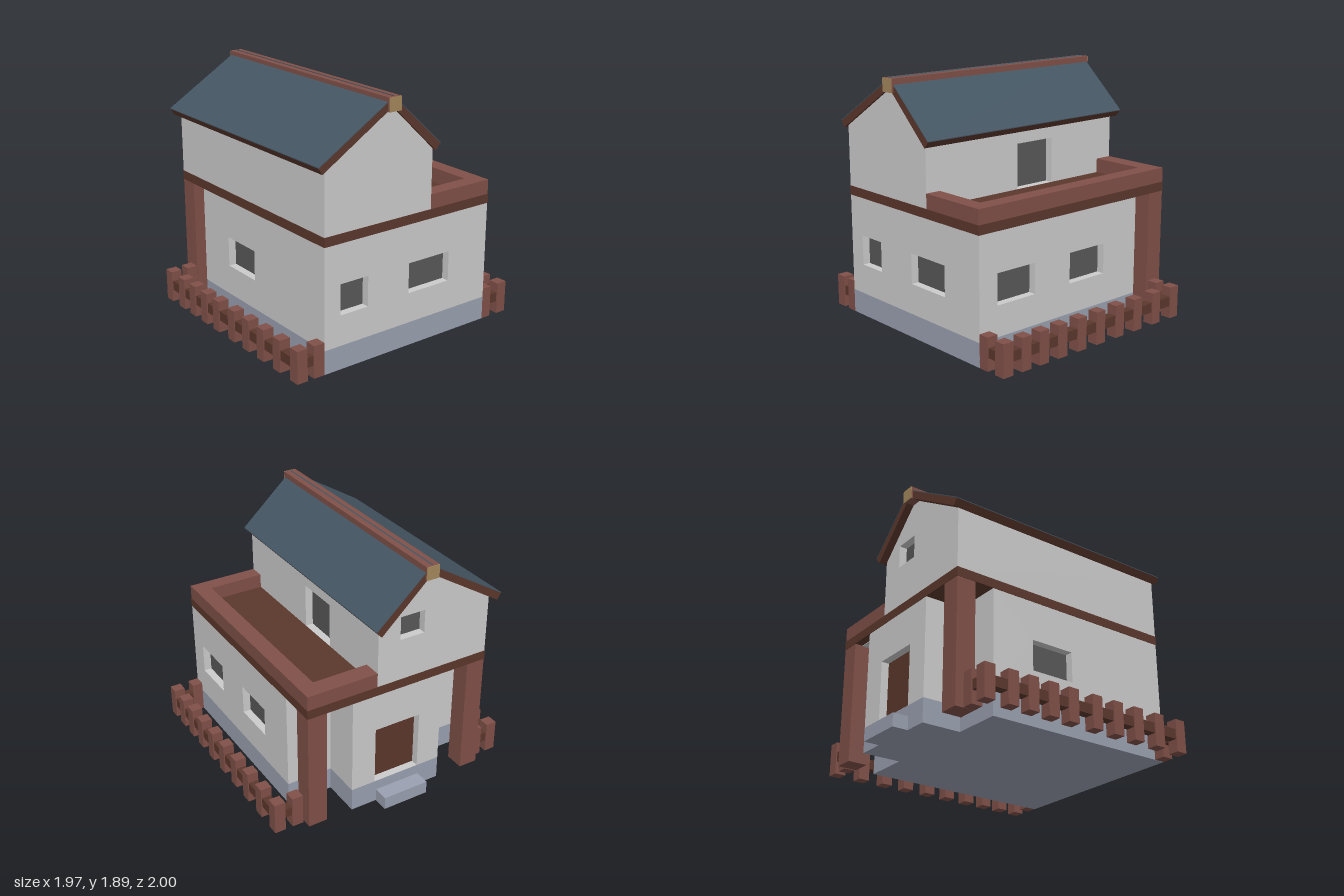
import * as THREE from 'three';

const mat = (color) => new THREE.MeshStandardMaterial({ color });
const grey = mat(0xcccccc), stone = mat(0x9aa0b0), wood = mat(0x805048), darkWood = mat(0x5b372c);
const tile = mat(0x445663), pane = mat(0x585858), gold = mat(0xa4875c);

export function createModel() {
  const root = new THREE.Group();

  // Box given by its two extreme corners
  const box = (name, m, x0, x1, y0, y1, z0, z1, parent = root) => {
    const mesh = new THREE.Mesh(new THREE.BoxGeometry(x1 - x0, y1 - y0, z1 - z0), m);
    mesh.position.set((x0 + x1) / 2, (y0 + y1) / 2, (z0 + z1) / 2);
    mesh.name = name;
    parent.add(mesh);
    return mesh;
  };
  const shapeOf = (pts) => new THREE.Shape(pts.map(([x, y]) => new THREE.Vector2(x, y)));
  // Outline extruded along z
  const prism = (name, m, shape, z0, z1, parent = root) => {
    const mesh = new THREE.Mesh(new THREE.ExtrudeGeometry(shape, { depth: z1 - z0, bevelEnabled: false }), m);
    mesh.position.z = z0;
    mesh.name = name;
    parent.add(mesh);
    return mesh;
  };
  const rect = (u0, u1, y0, y1) => [[u0, y0], [u1, y0], [u1, y1], [u0, y1]];

  // Wall turned to face outwards, with recessed openings [u0, u1, y0, y1, material]
  const T = 0.06;
  const wall = (name, angle, face, outline, openings = []) => {
    const g = new THREE.Group();
    g.name = name;
    g.rotation.y = angle;
    const s = shapeOf(outline);
    for (const [u0, u1, y0, y1, m] of openings) {
      s.holes.push(new THREE.Path(rect(u0, u1, y0, y1).map(([x, y]) => new THREE.Vector2(x, y))));
      box(m === darkWood ? 'door' : 'pane', m, u0 - 0.01, u1 + 0.01, y0 - 0.01, y1 + 0.01,
        face - T - 0.02, face - T, g);
    }
    prism('wallPanel', grey, s, face - T, face, g);
    root.add(g);
  };
  const L = -0.755, R = 0.74, F = 0.96, B = -0.88, N = -0.58, C = 0.38; // N, C: corner notches
  const H = Math.PI / 2;

  // Stone base with both rear corners cut out, and the doorstep
  const base = prism('plinth', stone, shapeOf([[L, -F], [R, -F], [R, -N], [C, -N], [C, -B],
    [-C, -B], [-C, -N], [L, -N]]), 0, 0.18);
  base.rotation.x = -H;
  box('doorstep', stone, -0.2, 0.17, 0, 0.1, -1, B);

  // Ground floor walls
  const y0 = 0.18, y1 = 0.94, w0 = 0.41, w1 = 0.64;
  wall('frontWall', 0, F, rect(L, R, y0, y1),
    [[-0.62, -0.38, w0, w1, pane], [-0.01, 0.37, w0, w1, pane]]);
  wall('leftWall', H, R, rect(-F, -N, y0, y1),
    [[-0.8, -0.45, w0, w1, pane], [-0.11, 0.24, w0, w1, pane]]);
  wall('rightWall', -H, -L, rect(N, F, y0, y1), [[-0.24, 0.11, w0, w1, pane]]);
  wall('porchWall', Math.PI, -B, rect(-C, C, y0, y1), [[-0.185, 0.19, 0.181, 0.64, darkWood]]);
  wall('porchLeftSide', H, C, rect(-N, -B, y0, y1));
  wall('porchRightSide', -H, C, rect(B, N, y0, y1));
  wall('notchWallLeft', Math.PI, -N, rect(-R, -C, y0, y1));
  wall('notchWallRight', Math.PI, -N, rect(C, -L, y0, y1));

  // Rear corner posts, ceiling of the left notch and floor band
  box('cornerPost', wood, R - 0.15, R, 0, y1, B, B + 0.15);
  box('cornerPost', wood, L, L + 0.15, 0, y1, B, B + 0.15);
  box('notchCeiling', grey, C, R - 0.06, 0.93, 0.945, B + 0.06, N);
  box('floorBand', darkWood, L - 0.003, R + 0.003, 0.935, 1.005, B - 0.003, F + 0.003);

  // Balcony parapet
  box('parapetSide', wood, 0.615, R, 1.0, 1.115, B, F);
  box('parapetFront', wood, 0.18, 0.615, 1.0, 1.115, 0.84, F);
  box('parapetBack', wood, 0.18, 0.615, 1.0, 1.115, B, -0.74);

  // Upper floor: two gables and two side walls
  const U = 0.18, ridge = -0.2;
  wall('frontGable', 0, F, [[L, 1], [U, 1], [U, 1.48], [ridge, 1.825], [L, 1.485]]);
  wall('backGable', Math.PI, -B, [[-U, 1], [-L, 1], [-L, 1.485], [-ridge, 1.825], [-U, 1.48]],
    [[0, 0.2, 1.33, 1.51, pane]]);
  wall('upperLeftWall', H, U, rect(-F, -B, 1, 1.47), [[-0.11, 0.24, 1.006, 1.35, pane]]);
  wall('upperRightWall', -H, -L, rect(B, F, 1, 1.475));

  // Roof: wooden slabs, each covered by a thin tiled sheet
  const slopes = [
    ['Right', [-0.815, 1.496], [-0.784, 1.448], 1.872],
    ['Left', [0.235, 1.485], [0.193, 1.438], 1.88],
  ];
  for (const [side, top, low, peak] of slopes) {
    prism('roofSlab' + side, darkWood, shapeOf([top, low, [ridge, 1.81], [ridge, peak]]), -0.938, 0.978);
    prism('roofTiles' + side, tile, shapeOf([top, [ridge, peak], [ridge, peak + 0.006],
      [top[0], top[1] + 0.006]]), -0.94, 0.98);
  }
  box('ridgeBeam', wood, -0.248, -0.145, 1.78, 1.88, -0.95, 0.995);
  box('ridgeEnd', gold, -0.248, -0.145, 1.78, 1.88, 0.995, 1);
  box('ridgeEnd', gold, -0.248, -0.145, 1.78, 1.88, -0.955, -0.95);

  // Picket fences with short returns towards the house
  const fence = (name, x, zs, frontX, backX) => {
    const g = new THREE.Group();
    g.name = name;
    const picket = (px, pz) => box('picket', wood, px - 0.043, px + 0.043, 0, 0.245, pz - 0.043, pz + 0.043, g);
    const first = zs[0], last = zs[zs.length - 1];
    zs.forEach((z) => picket(x, z));
    box('rail', darkWood, x - 0.035, x + 0.035, 0.095, 0.17, first, last, g);
    for (const [ex, ez] of [[backX, first], [frontX, last]]) {
      picket(ex, ez);
      box('returnRail', darkWood, Math.min(x, ex), Math.max(x, ex), 0.096, 0.169, ez - 0.035, ez + 0.035, g);
    }
    root.add(g);
  };
  fence('leftFence', 0.94, [-0.775, -0.57, -0.365, -0.17, 0.03, 0.22, 0.41, 0.585, 0.75, 0.917], 0.78, 0.797);
  fence('rightFence', -0.94, [-0.775, -0.585, -0.42, -0.25, -0.08, 0.13, 0.32, 0.51, 0.71, 0.917], -0.8, -0.8);

  return root;
}
